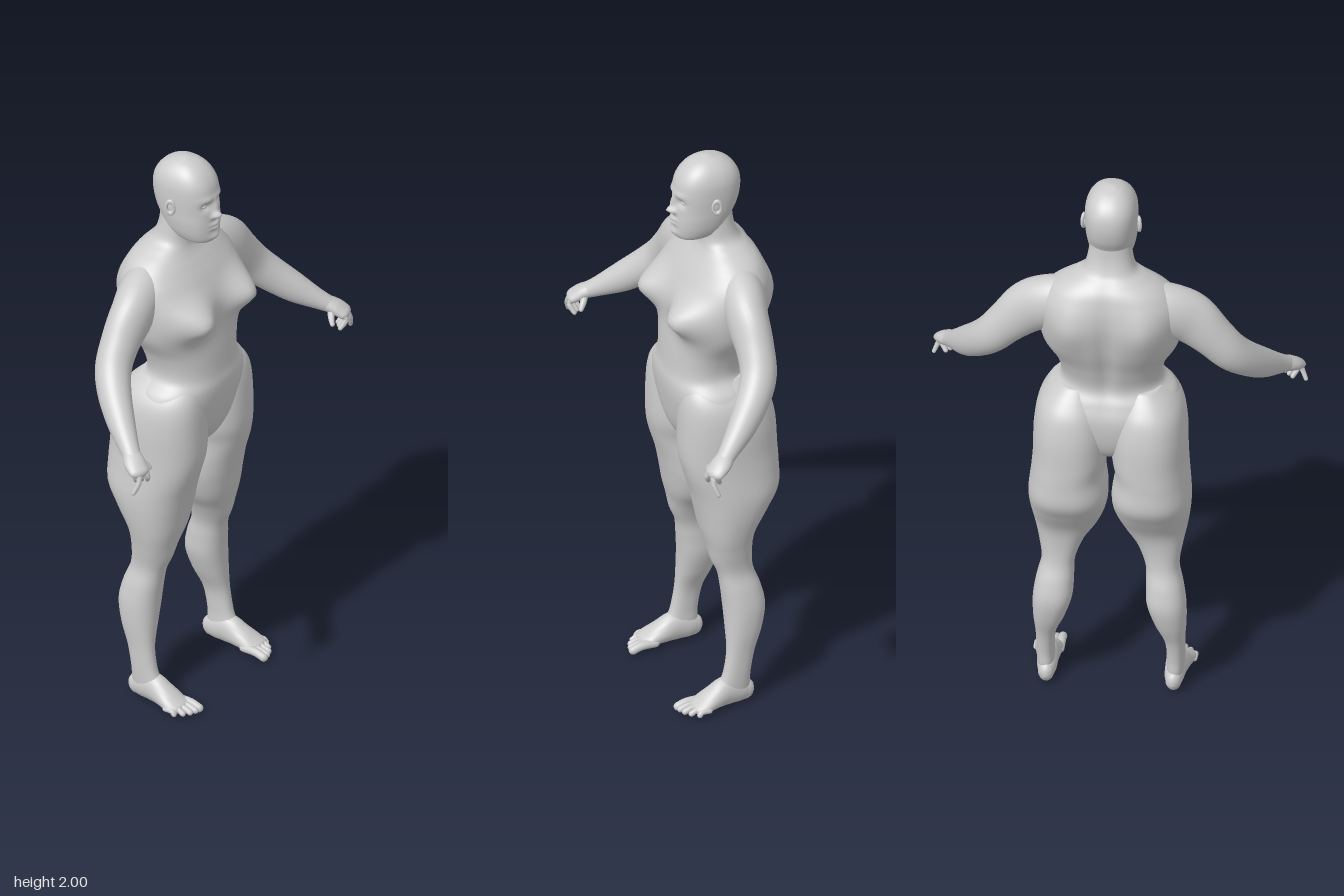
import * as THREE from 'three';

const skinMat = new THREE.MeshStandardMaterial({ color: 0xcccccc });
skinMat.name = 'grey clay';

// Smoothly resample rows of numbers (Catmull-Rom on every column)
function resample(rows, steps) {
  const out = [], last = rows.length - 1;
  for (let i = 0; i < last; i++) {
    const p = [rows[Math.max(0, i - 1)], rows[i], rows[i + 1], rows[Math.min(last, i + 2)]];
    for (let s = 0; s < steps; s++) {
      const t = s / steps;
      out.push(rows[i].map((_, k) => {
        const [a, b, c, d] = p.map((r) => r[k]);
        return b + 0.5 * t * (c - a + t * (2 * a - 5 * b + 4 * c - d + t * (3 * (b - c) + d - a)));
      }));
    }
  }
  out.push(rows[last]);
  return out;
}

// Join closed rings of points into a smooth surface; side -1 mirrors it in z
function skin(rings, side = 1) {
  const n = rings[0].length, pos = [], idx = [];
  rings.forEach((ring) => ring.forEach((p) => pos.push(p[0], p[1], p[2] * side)));
  for (let i = 0; i < rings.length - 1; i++) {
    for (let j = 0; j < n; j++) {
      const k = (j + 1) % n;
      const a = i * n + j, b = (i + 1) * n + j, c = i * n + k, d = (i + 1) * n + k;
      if (side > 0) idx.push(a, b, c, c, b, d);
      else idx.push(a, c, b, c, d, b);
    }
  }
  const g = new THREE.BufferGeometry();
  g.setAttribute('position', new THREE.Float32BufferAttribute(pos, 3));
  g.setIndex(idx);
  g.computeVertexNormals();
  return g;
}

// Horizontal sections from the bottom up [y, x0, x1, z0, z1];
// bumps [y, z, sizeY, sizeZ, amount, front 1 / back -1]
function stack(rows, { side = 1, segs = 48, steps = 6, power = 2.3, bumps = [] } = {}) {
  const sections = resample(rows, steps);
  const pow = (v) => Math.sign(v) * Math.abs(v) ** (2 / power);
  const rings = sections.map(([y, x0, x1, z0, z1]) => Array.from({ length: segs }, (_, j) => {
    const a = (j / segs) * Math.PI * 2, c = Math.cos(a);
    let x = (x0 + x1) / 2 + ((x1 - x0) / 2) * pow(c);
    const z = (z0 + z1) / 2 + ((z1 - z0) / 2) * pow(Math.sin(a));
    for (const [by, bz, sy, sz, amount, dir] of bumps) {
      const w = Math.sqrt(Math.max(0, c * dir));
      x += dir * amount * w * Math.exp(-(((y - by) / sy) ** 2) - ((z - bz) / sz) ** 2);
    }
    return [x, y, z];
  }));
  // close both ends at their centres
  const close = (r) => {
    const m = [0, 1, 2].map((k) => r.reduce((s, p) => s + p[k], 0) / r.length);
    return r.map(() => m);
  };
  return skin([close(rings[0]), ...rings, close(rings[rings.length - 1])], side);
}

// Round-ended limb through rows [x, y, z, side radius, upward radius]
function limb(rows, side = 1, segs = 20, steps = 5) {
  const s = resample(rows, steps), up = new THREE.Vector3(0, 1, 0), rings = [];
  const ring = (i, reach, scale) => {
    const a = s[Math.max(0, i - 1)], b = s[Math.min(s.length - 1, i + 1)];
    const T = new THREE.Vector3(b[0] - a[0], b[1] - a[1], b[2] - a[2]).normalize();
    const N = T.clone().cross(up).normalize(), B = N.clone().cross(T);
    const [x, y, z, rs, ru] = s[i];
    rings.push(Array.from({ length: segs }, (_, j) => {
      const t = (j / segs) * Math.PI * 2;
      return new THREE.Vector3(x, y, z)
        .addScaledVector(T, reach * Math.min(rs, ru))
        .addScaledVector(N, Math.cos(t) * rs * scale)
        .addScaledVector(B, Math.sin(t) * ru * scale).toArray();
    }));
  };
  const caps = [0.35, 0.7, 0.92, 1];
  [...caps].reverse().forEach((t) => ring(0, -t, Math.sqrt(1 - t * t)));
  s.forEach((_, i) => ring(i, 0, 1));
  caps.forEach((t) => ring(s.length - 1, t, Math.sqrt(1 - t * t)));
  return skin(rings, side);
}

const both = (y, z, ...rest) => [[y, z, ...rest], [y, -z, ...rest]];
const centred = (rows) => rows.map(([y, x0, x1, h]) => [y, x0, x1, -h, h]);

export function createModel() {
  const model = new THREE.Group();
  model.name = 'standingFigure';
  const add = (parent, name, geometry) => {
    const m = new THREE.Mesh(geometry, skinMat);
    m.name = name;
    parent.add(m);
    return m;
  };

  // Torso, pelvis and neck, facing +x
  add(model, 'torso', stack(centred([
    [0.93, -0.07, 0.05, 0.025], [0.97, -0.13, 0.085, 0.08], [1.03, -0.16, 0.108, 0.16],
    [1.12, -0.17, 0.122, 0.225], [1.18, -0.152, 0.125, 0.212], [1.23, -0.13, 0.118, 0.168],
    [1.31, -0.15, 0.112, 0.178], [1.4, -0.182, 0.102, 0.222], [1.5, -0.2, 0.092, 0.235],
    [1.57, -0.2, 0.065, 0.23], [1.62, -0.19, 0.035, 0.2], [1.65, -0.178, 0.015, 0.165],
    [1.675, -0.158, 0.003, 0.122], [1.7, -0.135, 0, 0.086], [1.75, -0.117, 0, 0.072],
    [1.82, -0.11, 0, 0.065],
  ]), {
    segs: 80,
    bumps: [
      ...both(1.465, 0.135, 0.062, 0.08, 0.082, 1), // breasts
      ...both(1.448, 0.15, 0.012, 0.012, 0.006, 1),
      ...both(1.51, 0.13, 0.1, 0.07, 0.03, -1), // shoulder blades
      [1.4, 0, 0.2, 0.025, -0.018, -1], // spine
    ],
  }));

  // Head with the face shaped in
  const head = new THREE.Group();
  head.name = 'head';
  model.add(head);
  add(head, 'skull', stack(centred([
    [1.708, -0.01, 0.065, 0.035], [1.72, -0.06, 0.08, 0.058], [1.75, -0.095, 0.086, 0.073],
    [1.79, -0.113, 0.086, 0.081], [1.83, -0.132, 0.084, 0.084], [1.88, -0.142, 0.083, 0.086],
    [1.925, -0.138, 0.074, 0.083], [1.96, -0.118, 0.052, 0.069], [1.985, -0.085, 0.02, 0.045],
    [1.997, -0.05, -0.015, 0.018], [2, -0.034, -0.03, 0.002],
  ]), {
    segs: 128, steps: 9,
    bumps: [
      [1.82, 0, 0.013, 0.013, 0.023, 1], [1.848, 0, 0.024, 0.009, 0.014, 1], // nose
      ...both(1.816, 0.014, 0.009, 0.008, 0.01, 1),
      ...both(1.855, 0.033, 0.014, 0.018, -0.013, 1), // eye sockets
      ...both(1.883, 0.03, 0.01, 0.025, 0.005, 1), // brows
      [1.785, 0, 0.006, 0.022, 0.01, 1], [1.77, 0, 0.006, 0.02, 0.01, 1], // lips
      [1.735, 0, 0.014, 0.025, 0.01, 1], // chin
    ],
  }));

  for (const side of [1, -1]) {
    const label = side > 0 ? 'right' : 'left';

    // Eye and ear
    const eye = add(head, label + 'Eye', new THREE.SphereGeometry(0.013, 20, 14));
    eye.position.set(0.058, 1.856, 0.033 * side);
    eye.scale.y = 0.7;
    const rim = add(head, label + 'EarRim', new THREE.TorusGeometry(0.015, 0.006, 10, 24));
    rim.position.set(-0.03, 1.847, 0.09 * side);
    rim.scale.set(0.9, 1.5, 1);
    rim.rotation.y = 0.35 * side;
    const bowl = add(head, label + 'EarBowl', new THREE.SphereGeometry(0.016, 16, 12));
    bowl.position.set(-0.03, 1.845, 0.084 * side);
    bowl.scale.set(0.9, 1.5, 0.4);

    // Leg, including the buttock
    add(model, label + 'Leg', stack([
      [0.03, -0.08, 0.02, 0.183, 0.237], [0.07, -0.09, 0.022, 0.182, 0.24],
      [0.12, -0.092, 0.002, 0.184, 0.242], [0.2, -0.107, -0.012, 0.177, 0.244],
      [0.28, -0.135, -0.014, 0.146, 0.25], [0.36, -0.15, -0.012, 0.122, 0.25],
      [0.43, -0.138, -0.006, 0.118, 0.24], [0.5, -0.115, 0.004, 0.115, 0.225],
      [0.58, -0.113, 0.03, 0.085, 0.236], [0.65, -0.128, 0.05, 0.042, 0.25],
      [0.73, -0.175, 0.065, 0.013, 0.262], [0.8, -0.213, 0.08, 0.007, 0.265],
      [0.88, -0.215, 0.104, 0.017, 0.257], [0.95, -0.213, 0.117, 0.006, 0.252],
      [1.05, -0.207, 0.117, 0.004, 0.25], [1.13, -0.188, 0.112, 0.015, 0.238],
      [1.18, -0.155, 0.1, 0.035, 0.21], [1.22, -0.115, 0.075, 0.06, 0.165],
    ], { side, bumps: [[0.54, 0.165, 0.04, 0.04, 0.008, 1]] }));

    // Foot and toes
    const foot = new THREE.Group();
    foot.name = label + 'Foot';
    model.add(foot);
    add(foot, 'sole', limb([
      [-0.08, 0.04, 0.208, 0.026, 0.036], [-0.055, 0.046, 0.208, 0.032, 0.044],
      [-0.01, 0.054, 0.21, 0.036, 0.052], [0.035, 0.042, 0.213, 0.042, 0.039],
      [0.075, 0.029, 0.217, 0.047, 0.026], [0.1, 0.022, 0.218, 0.045, 0.018],
    ], side));
    for (let k = 0; k < 5; k++) {
      const z = 0.181 + 0.0195 * k, r = k ? 0.0112 - 0.0005 * k : 0.0145;
      const tip = 0.149 - 0.0035 * k * k + 0.003 * k;
      add(foot, 'toe', limb([
        [0.07, 0.023, z, r, r], [(tip + 0.085) / 2, 0.024, z, r, r], [tip, 0.015, z, r, r],
      ], side, 12, 4));
    }

    // Arm, from inside the shoulder to the wrist
    add(model, label + 'Arm', limb([
      [-0.09, 1.575, 0.05, 0.05, 0.05], [-0.085, 1.565, 0.125, 0.068, 0.08],
      [-0.075, 1.545, 0.195, 0.073, 0.09], [-0.062, 1.503, 0.265, 0.068, 0.09],
      [-0.058, 1.435, 0.335, 0.062, 0.072], [-0.045, 1.372, 0.388, 0.06, 0.064],
      [-0.005, 1.315, 0.436, 0.055, 0.058], [0.055, 1.257, 0.485, 0.046, 0.05],
      [0.115, 1.213, 0.528, 0.034, 0.034], [0.15, 1.19, 0.553, 0.029, 0.026],
    ], side, 32));

    // Hand: index finger pointing down, the rest curled under the palm
    const hand = new THREE.Group();
    hand.name = label + 'Hand';
    model.add(hand);
    add(hand, 'palm', limb([
      [0.135, 1.2, 0.542, 0.029, 0.026], [0.165, 1.182, 0.563, 0.037, 0.024],
      [0.192, 1.165, 0.575, 0.036, 0.019],
    ], side));
    add(hand, 'indexFinger', limb([
      [0.195, 1.165, 0.582, 0.011, 0.011], [0.202, 1.135, 0.593, 0.009, 0.009],
      [0.192, 1.1, 0.608, 0.007, 0.007],
    ], side, 12, 4));
    for (let k = 0; k < 3; k++) {
      const x = 0.207 - 0.014 * k, z = 0.553 + 0.013 * k;
      add(hand, 'curledFinger', limb([
        [x - 0.01, 1.17, z, 0.01, 0.01], [x + 0.003, 1.148, z + 0.003, 0.0095, 0.0095],
        [x - 0.008, 1.122, z - 0.012, 0.008, 0.008],
      ], side, 12, 4));
    }
    add(hand, 'thumb', limb([
      [0.16, 1.18, 0.545, 0.012, 0.012], [0.175, 1.165, 0.524, 0.011, 0.011],
      [0.188, 1.148, 0.512, 0.008, 0.008],
    ], side, 12, 4));
  }
  return model;
}
